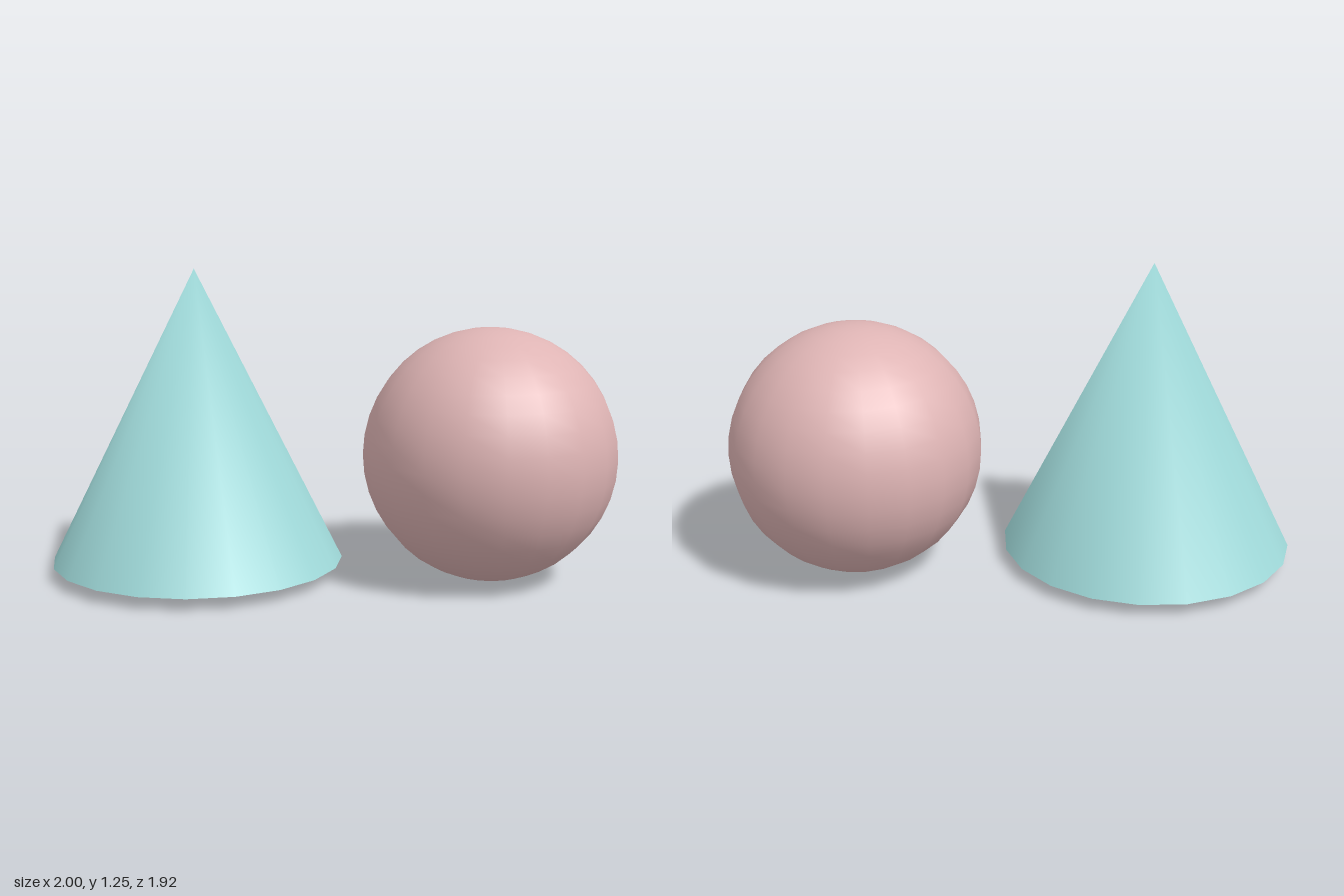
import * as THREE from 'three';

function addPart(group, name, geometry, color, position) {
  const mesh = new THREE.Mesh(geometry, new THREE.MeshStandardMaterial({ color }));
  mesh.name = name;
  mesh.position.set(...position);
  group.add(mesh);
}

export function createModel() {
  const group = new THREE.Group();
  group.name = 'coneAndBall';

  // Cone with a closed base; the tip is shaded smooth, with its normals straight up
  const height = 1.2;
  const cone = new THREE.ConeGeometry(0.6, height, 20);
  const { position, normal } = cone.attributes;
  for (let i = 0; i < position.count; i++) {
    if (position.getY(i) > height / 2 - 1e-4) normal.setXYZ(i, 0, 1, 0);
  }
  addPart(group, 'cone', cone, 0xa0dada, [-0.4, 0.05 + height / 2, -0.36]);

  // Ball resting on the ground beside the cone
  const ball = new THREE.SphereGeometry(0.512, 20, 20);
  addPart(group, 'ball', ball, 0xdeb4b4, [0.488, 0.512, 0.448]);

  return group;
}
